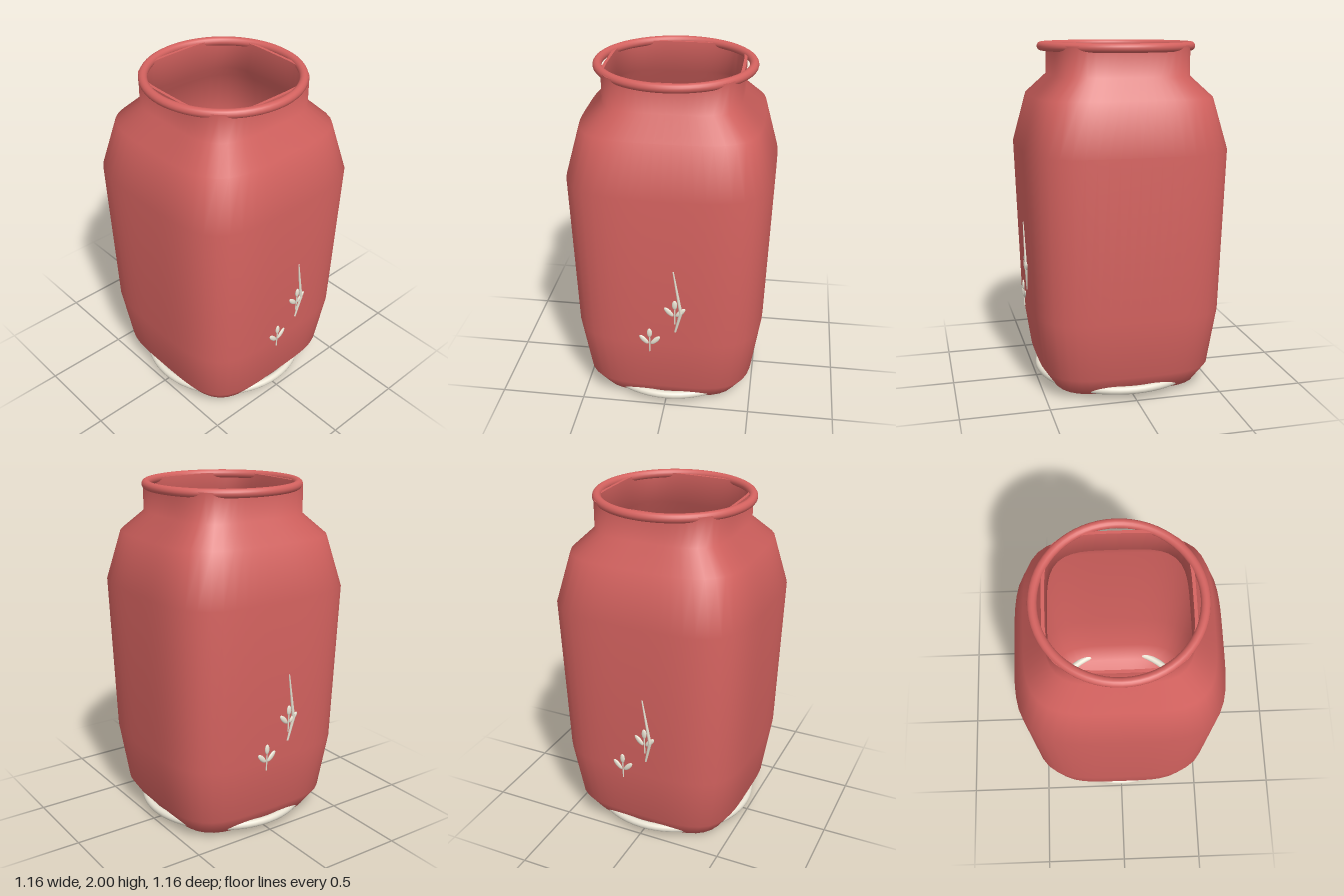
import * as THREE from 'three';

const SIDES = 64;
const red = new THREE.MeshStandardMaterial({ color: 0xd4625f });
const cream = new THREE.MeshStandardMaterial({ color: 0xe8e2d2 });

function add(parent, name, geometry, material) {
  const mesh = new THREE.Mesh(geometry, material);
  mesh.name = name;
  parent.add(mesh);
  return mesh;
}

// Lofts rounded-square rings through [half width, height] points.
function loft(profile) {
  const pos = [], index = [];
  profile.forEach(([w, y], row) => {
    for (let i = 0; i < SIDES; i++) {
      const a = (i / SIDES) * Math.PI * 2, c = Math.cos(a), s = Math.sin(a);
      const r = w / Math.pow(c ** 4 + s ** 4, 0.25);
      pos.push(r * c, y, r * s);
      if (row === 0) continue;
      const n = (i + 1) % SIDES, lo = (row - 1) * SIDES, hi = row * SIDES;
      index.push(lo + i, hi + i, lo + n, hi + i, hi + n, lo + n);
    }
  });
  const g = new THREE.BufferGeometry();
  g.setAttribute('position', new THREE.Float32BufferAttribute(pos, 3));
  g.setIndex(index);
  g.computeVertexNormals();
  return g;
}

function ring(parent, name, radius, tube, y, material) {
  const g = new THREE.TorusGeometry(radius, tube, 16, 64).rotateX(Math.PI / 2);
  add(parent, name, g, material).position.y = y;
}

// Tapered twig between two points.
function twig(parent, name, from, to, r0, r1) {
  const a = new THREE.Vector3(...from), b = new THREE.Vector3(...to);
  const d = b.clone().sub(a);
  const mesh = add(parent, name, new THREE.CylinderGeometry(r1, r0, d.length(), 8), cream);
  mesh.position.copy(a).addScaledVector(d, 0.5);
  mesh.quaternion.setFromUnitVectors(new THREE.Vector3(0, 1, 0), d.normalize());
}

function leaf(parent, x, y, z, tilt, length) {
  const g = new THREE.SphereGeometry(1, 12, 8).scale(0.015, length / 2, 0.008);
  const mesh = add(parent, 'leaf', g, cream);
  mesh.position.set(x, y, z);
  mesh.rotation.z = tilt;
}

// Three leaves on a short stem.
function sprig(parent, x, y, z) {
  const g = new THREE.Group();
  g.name = 'sprig';
  g.position.set(x, y, z);
  twig(g, 'sprigStem', [0, -0.075, -0.002], [0, 0.04, 0.003], 0.004, 0.004);
  leaf(g, 0, 0.055, 0.003, 0, 0.06);
  leaf(g, -0.033, 0.005, 0, 0.75, 0.075);
  leaf(g, 0.033, 0.005, 0, -0.75, 0.075);
  parent.add(g);
}

function decoration() {
  const g = new THREE.Group();
  g.name = 'plantDecoration';
  sprig(g, -0.075, 0.503, 0.554);
  sprig(g, 0.07, 0.708, 0.56);
  twig(g, 'branchLower', [0.072, 0.575, 0.553], [0.105, 0.71, 0.561], 0.006, 0.01);
  twig(g, 'branchUpper', [0.105, 0.71, 0.561], [0.063, 0.98, 0.567], 0.01, 0.004);
  return g;
}

export function createModel() {
  const jar = new THREE.Group();
  jar.name = 'jar';

  // Body: outer wall, flat lip and hollow inside
  add(jar, 'outerWall', loft([
    [0, 0], [0.43, 0.03], [0.5, 0.14], [0.55, 0.48], [0.58, 1.41],
    [0.503, 1.7], [0.385, 1.815], [0.385, 1.982],
  ]), red);
  add(jar, 'lip', loft([[0.385, 1.982], [0.368, 1.982]]), red);
  add(jar, 'innerWall', loft([
    [0.368, 1.982], [0.368, 1.805], [0.485, 1.69], [0.56, 1.4],
    [0.53, 0.48], [0.48, 0.15], [0.41, 0.05], [0, 0.03],
  ]), red);

  // Round rim and foot ring
  ring(jar, 'rim', 0.43, 0.025, 1.975, red);
  ring(jar, 'footRing', 0.477, 0.023, 0.057, cream);

  // Plant relief on front and back
  for (const turn of [0, Math.PI]) {
    const d = decoration();
    d.rotation.y = turn;
    jar.add(d);
  }
  return jar;
}
